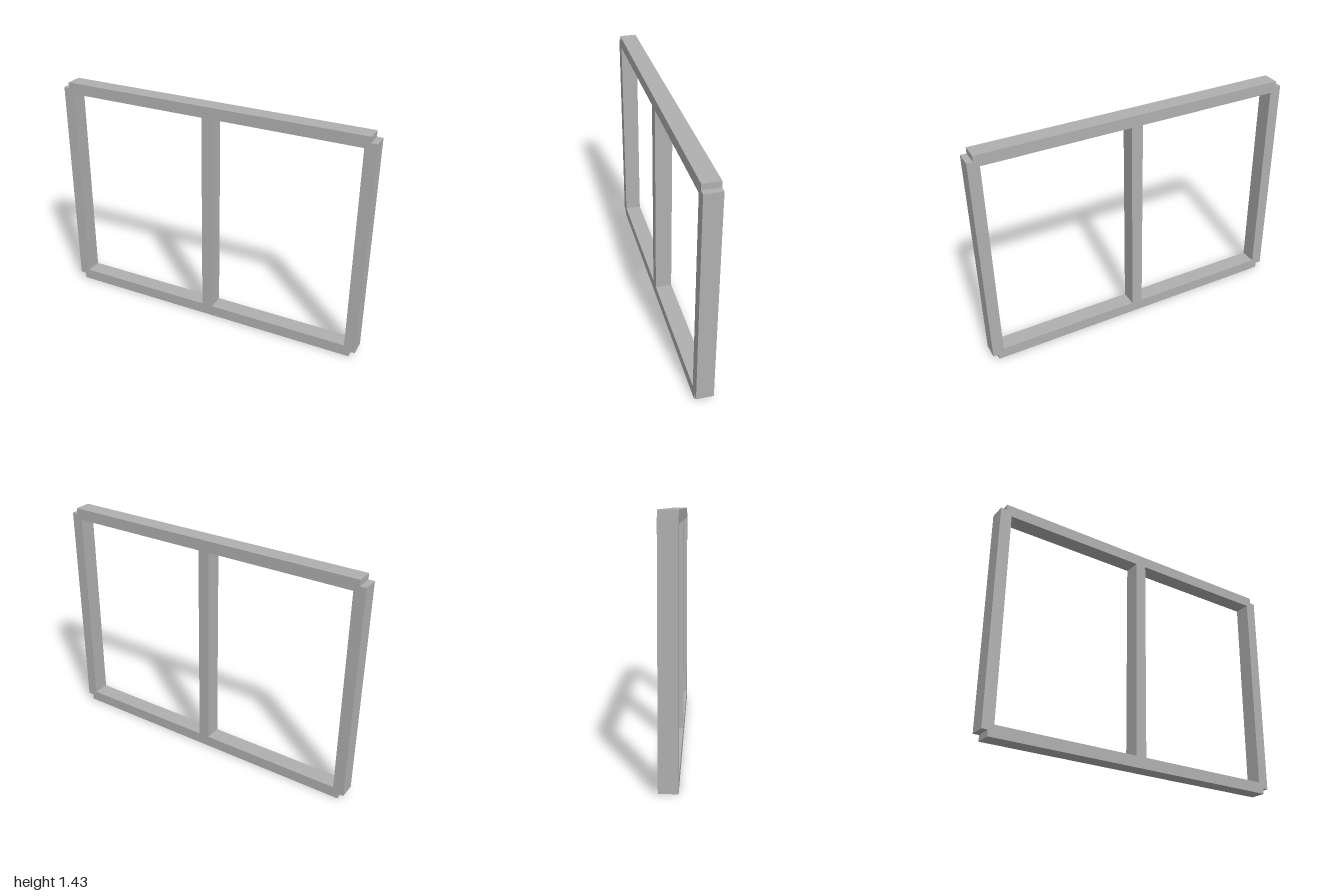
import * as THREE from 'three';

const HEIGHT = 1.43;   // overall height
const BAR = 0.07;      // face width of every bar
const DEPTH = 0.104;   // front to back
const NOTCH = 0.036;   // square step at each outer corner

export function createModel() {
  const model = new THREE.Group();
  model.name = 'windowFrame';

  const grey = new THREE.MeshStandardMaterial({ color: 0xb0b0b0 });
  grey.name = 'grey';

  // Outer outline: a rectangle with a square step cut from each corner
  const inX = 1 - NOTCH, top = HEIGHT - NOTCH;
  const outline = new THREE.Shape([
    [-inX, 0], [inX, 0], [inX, NOTCH], [1, NOTCH],
    [1, top], [inX, top], [inX, HEIGHT], [-inX, HEIGHT],
    [-inX, top], [-1, top], [-1, NOTCH], [-inX, NOTCH],
  ].map(([x, y]) => new THREE.Vector2(x, y)));

  // Two openings, one on each side of the central post
  for (const [x0, x1] of [[-1 + BAR, -BAR / 2], [BAR / 2, 1 - BAR]]) {
    outline.holes.push(new THREE.Path([
      new THREE.Vector2(x0, BAR),
      new THREE.Vector2(x0, HEIGHT - BAR),
      new THREE.Vector2(x1, HEIGHT - BAR),
      new THREE.Vector2(x1, BAR),
    ]));
  }

  // Rails, side posts and central post form one continuous solid
  const geometry = new THREE.ExtrudeGeometry(outline, { depth: DEPTH, bevelEnabled: false });
  geometry.translate(0, 0, -DEPTH / 2);
  const frame = new THREE.Mesh(geometry, grey);
  frame.name = 'frameWithCentralPost';
  model.add(frame);

  return model;
}
